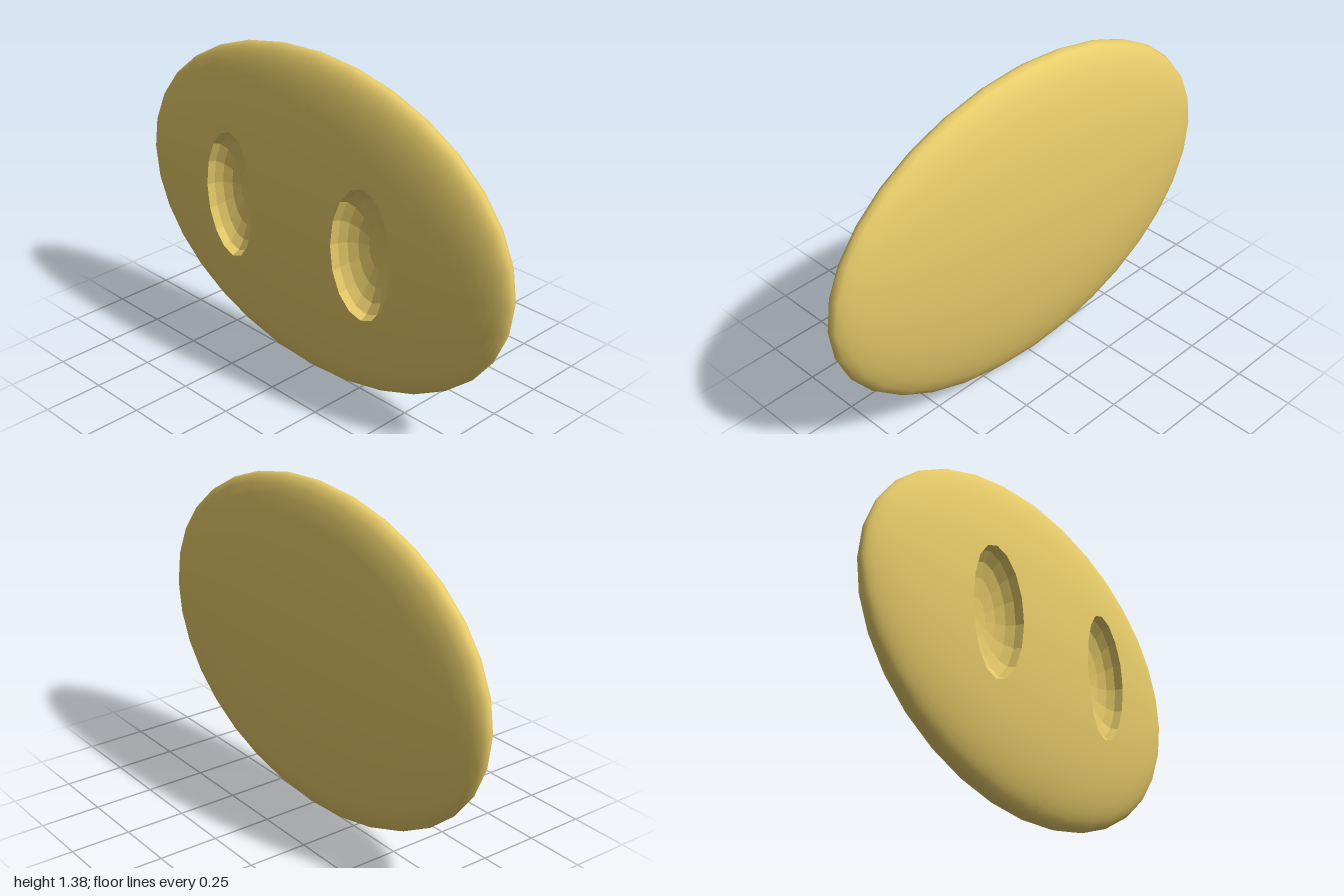
import * as THREE from 'three';

const A = 1, B = 0.69, C = 0.148, FLAT = 0.145; // half sizes of the body
const N = 32;                                    // points around each loop
const HOLE = { x: 0.37, y: 0.005, rx: 0.147, ry: 0.277, depth: 0.11 };

// Height of the body's front surface above its middle plane
const surfaceZ = (x, y) =>
  Math.min(FLAT, C * Math.sqrt(Math.max(0, 1 - (x / A) ** 2 - (y / B) ** 2)));

// Join closed loops (inner to outer, counterclockwise from the front)
function skin(loops, flip) {
  const index = [];
  for (let j = 0; j < loops.length - 1; j++) {
    for (let i = 0; i < N; i++) {
      const a = j * N + i, b = j * N + (i + 1) % N, c = b + N, d = a + N;
      index.push(...(flip ? [a, c, d, a, b, c] : [a, d, c, a, c, b]));
    }
  }
  const geometry = new THREE.BufferGeometry();
  geometry.setAttribute('position', new THREE.Float32BufferAttribute(loops.flat(2), 3));
  geometry.setIndex(index);
  return geometry;
}

// Smooth ellipsoid normals, so separate shell pieces meet without a seam
function smooth(geometry) {
  const p = geometry.attributes.position, normals = [], v = new THREE.Vector3();
  for (let i = 0; i < p.count; i++) {
    v.fromBufferAttribute(p, i);
    v.set(v.x / A ** 2, v.y / B ** 2, v.z / C ** 2).normalize();
    normals.push(v.x, v.y, v.z);
  }
  geometry.setAttribute('normal', new THREE.Float32BufferAttribute(normals, 3));
  return geometry;
}

const loop = (fn) => Array.from({ length: N }, (_, i) => fn(i));

// Sixteen-sided oval outline, starting at its lowest point
function holePoint(i, k = 1) {
  const corner = (n) => {
    const t = -Math.PI / 2 + (n / N) * Math.PI * 2;
    return [Math.cos(t), Math.sin(t)];
  };
  let [u, v] = corner(i);
  if (i % 2) {
    const p = corner(i - 1), q = corner(i + 1);
    u = (p[0] + q[0]) / 2;
    v = (p[1] + q[1]) / 2;
  }
  return [HOLE.x + HOLE.rx * k * u, HOLE.y + HOLE.ry * k * v];
}

// Outline of one half of the front: up the rim, then down the middle line
function halfOutline(i) {
  const t = -Math.PI / 2 + (i / N) * Math.PI * 2;
  return i <= N / 2 ? [A * Math.cos(t), B * Math.sin(t)] : [0, B * Math.sin(t)];
}

// Front half shell, from the hole's edge out to the rim
function frontHalf(side) {
  const rings = 12, loops = [];
  for (let j = 0; j <= rings; j++) {
    const s = 1 - (1 - j / rings) ** 2;
    loops.push(loop((i) => {
      const h = holePoint(i), o = halfOutline(i);
      const x = h[0] + (o[0] - h[0]) * s, y = h[1] + (o[1] - h[1]) * s;
      return [side * x, y, surfaceZ(x, y)];
    }));
  }
  return smooth(skin(loops, side < 0));
}

// Faceted bowl sunk into the front
function bowl(side) {
  const loops = [];
  for (let j = 0; j <= 5; j++) {
    const angle = (j / 5) * Math.PI / 2, k = Math.sin(angle);
    loops.push(loop((i) => {
      const [x, y] = holePoint(i, k);
      return [side * x, y, surfaceZ(x, y) - HOLE.depth * Math.cos(angle)];
    }));
  }
  const geometry = skin(loops, side < 0).toNonIndexed();
  geometry.computeVertexNormals();
  return geometry;
}

// Plain rounded back
function back() {
  const rings = 10, loops = [];
  for (let j = 0; j <= rings; j++) {
    const r = Math.sin((j / rings) * Math.PI / 2);
    loops.push(loop((i) => {
      const t = (i / N) * Math.PI * 2;
      const x = A * r * Math.cos(t), y = B * r * Math.sin(t);
      return [x, y, -surfaceZ(x, y)];
    }));
  }
  return smooth(skin(loops, true));
}

export function createModel() {
  const group = new THREE.Group();
  group.name = 'ovalDisc';
  const yellow = new THREE.MeshStandardMaterial({ color: 0xe8cc6a });
  const faceted = new THREE.MeshStandardMaterial({ color: 0xe8cc6a, flatShading: true });
  const add = (name, geometry, material) => {
    const mesh = new THREE.Mesh(geometry, material);
    mesh.name = name;
    mesh.position.y = B;
    group.add(mesh);
  };

  add('back', back(), yellow);
  for (const [side, label] of [[1, 'left'], [-1, 'right']]) {
    add(label + 'Front', frontHalf(side), yellow);
    add(label + 'Hollow', bowl(side), faceted);
  }
  return group;
}
